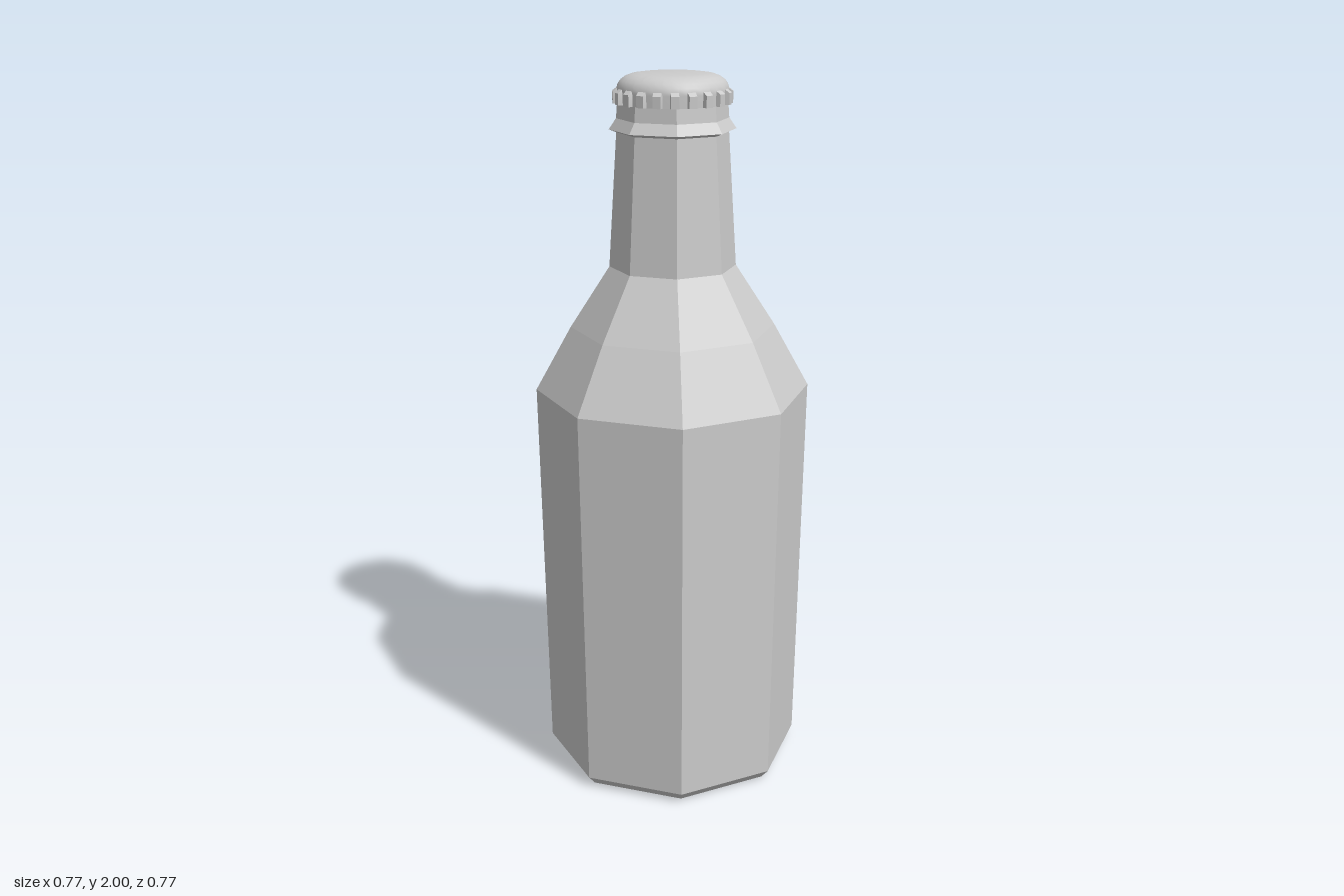
import * as THREE from 'three';
import { toCreasedNormals } from 'three/addons/utils/BufferGeometryUtils.js';

const profile = (pairs) => pairs.map(([r, y]) => new THREE.Vector2(r, y));

// Crimped cap: a round lathe whose skirt is pushed outwards at every tooth
function crownCapGeometry(teeth) {
  const points = profile([
    [0.135, 1.93], [0.145, 1.922], [0.149, 1.922], [0.15, 1.953], [0.15, 1.962],
    [0.147, 1.972], [0.14, 1.982], [0.128, 1.991], [0.112, 1.997], [0.09, 2], [0, 2],
  ]);
  const geometry = new THREE.LatheGeometry(points, teeth * 4);
  const pos = geometry.attributes.position;
  const steps = [0, 0.06, 0.5, 0.56]; // corners of one tooth, as fractions of its pitch
  for (let i = 0; i < pos.count; i++) {
    const column = Math.floor(i / points.length);
    const row = i % points.length;
    const corner = column % 4;
    const angle = ((Math.floor(column / 4) + steps[corner]) / teeth) * Math.PI * 2;
    const raised = (corner === 1 || corner === 2) && row >= 1 && row <= 3;
    const r = points[row].x + (raised ? 0.012 : 0);
    pos.setXYZ(i, r * Math.sin(angle), points[row].y, r * Math.cos(angle));
  }
  return toCreasedNormals(geometry, 0.6);
}

export function createModel() {
  const group = new THREE.Group();
  group.name = 'bottle';

  // Eight-sided glass: base, body, shoulder, neck and lip ring
  const glass = new THREE.Mesh(
    new THREE.LatheGeometry(profile([
      [0, 0], [0.345, 0.003], [0.368, 0.03], [0.385, 1.13], [0.285, 1.31], [0.175, 1.48],
      [0.152, 1.845], [0.172, 1.853], [0.152, 1.882], [0.148, 1.935], [0, 1.935],
    ]), 8),
    new THREE.MeshStandardMaterial({ color: 0xcccccc, flatShading: true }),
  );
  glass.name = 'glass';

  const cap = new THREE.Mesh(
    crownCapGeometry(21),
    new THREE.MeshStandardMaterial({ color: 0xcccccc, side: THREE.DoubleSide }),
  );
  cap.name = 'crownCap';

  group.add(glass, cap);
  return group;
}
